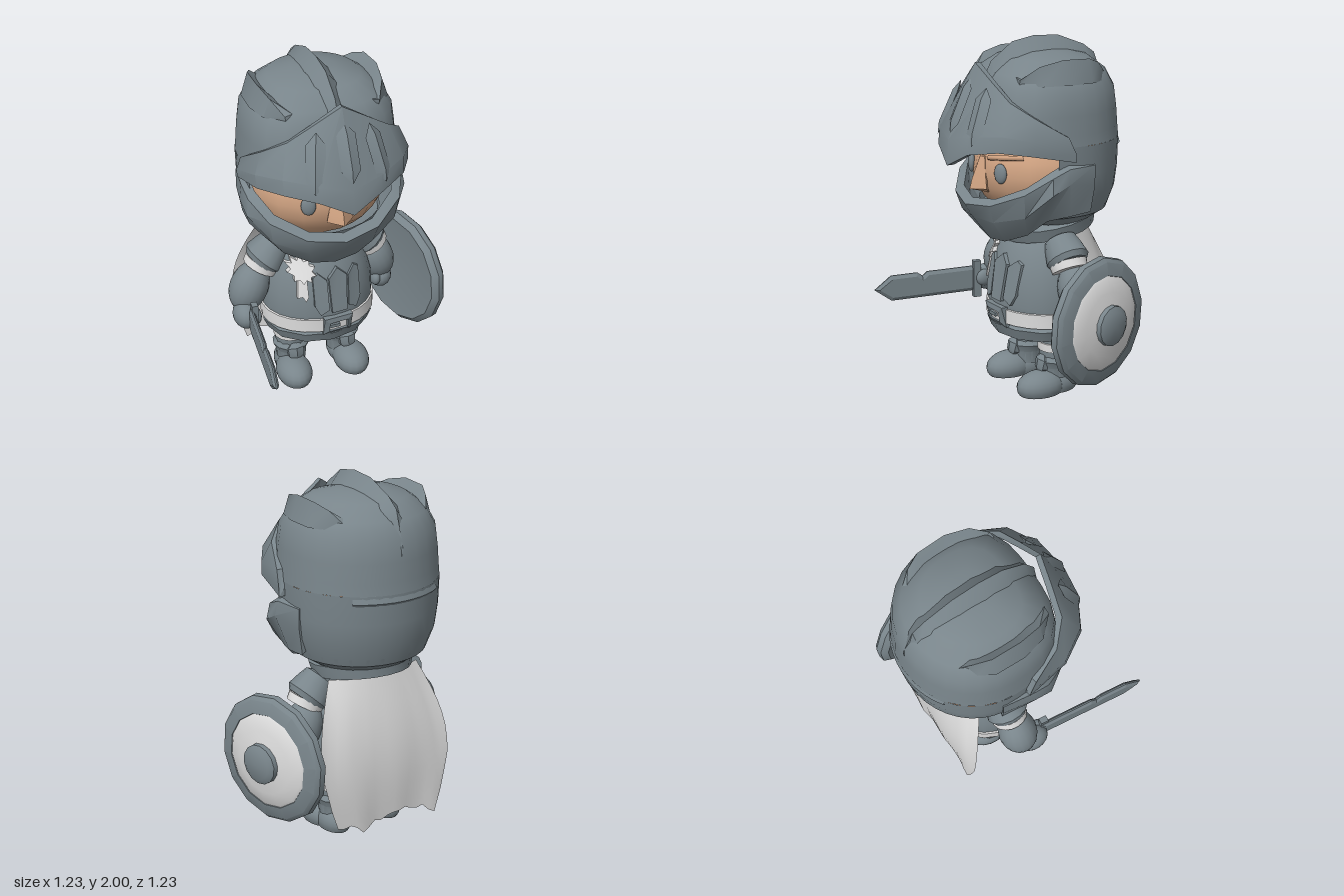
import * as THREE from 'three';
import { toCreasedNormals } from 'three/addons/utils/BufferGeometryUtils.js';

const V2 = (a) => a.map((p) => new THREE.Vector2(p[0], p[1]));
const shapeOf = (a) => new THREE.Shape(V2(a));

// Closed skin through a row of equal-length loops, capped at both ends
function loft(rows, crease = 0.6) {
  const n = rows[0].length, idx = [];
  for (let i = 0; i < rows.length - 1; i++) for (let j = 0; j < n; j++) {
    const a = i * n + j, b = i * n + (j + 1) % n;
    idx.push(a, a + n, b + n, a, b + n, b);
  }
  const e = (rows.length - 1) * n;
  for (let j = 1; j < n - 1; j++) idx.push(0, j, j + 1, e, e + j + 1, e + j);
  const g = new THREE.BufferGeometry();
  g.setAttribute('position', new THREE.Float32BufferAttribute(rows.flat(2), 3));
  g.setIndex(idx);
  return toCreasedNormals(g, crease);
}

// Turned part, flattened in depth by sz; boxy > 2 squares off its front half
function turned(pts, seg, sz = 1, start = 0, len = Math.PI * 2, boxy = 2) {
  const g = new THREE.LatheGeometry(V2(pts), seg, start, len), p = g.attributes.position;
  for (let i = 0; i < p.count; i++) {
    const x = p.getX(i), z = p.getZ(i), r = Math.hypot(x, z);
    const k = z > 0 && r > 1e-4 ? (Math.abs(x / r) ** boxy + (z / r) ** boxy) ** (-1 / boxy) : 1;
    p.setXYZ(i, x * k, p.getY(i), z * k * sz);
  }
  return toCreasedNormals(g, 0.6);
}

// Curved plate with thickness: half-stations of outer points, mirrored in x
function plate(half, inset, lift) {
  const loop = (st, s) => {
    const o = st.map(([x, y, z]) => [s * x, y, z]);
    const inner = o.map(([x, y, z]) => [x * inset, y + lift, (z + 0.2) * inset - 0.2]).reverse();
    return [...o, ...inner];
  };
  return loft([...half.slice(1).reverse().map((h) => loop(h, -1)), ...half.map((h) => loop(h, 1))]);
}

const TORSO = [[0.27, 0.38], [0.315, 0.44], [0.322, 0.53], [0.315, 0.64], [0.285, 0.76], [0.23, 0.87], [0.15, 0.96]];
const BODY_Z = -0.165, BODY_DEPTH = 0.85;
function torsoZ(x, y) {
  let i = 0;
  while (i < TORSO.length - 2 && y > TORSO[i + 1][1]) i++;
  const [a, b] = [TORSO[i], TORSO[i + 1]];
  const r = a[0] + (b[0] - a[0]) * (y - a[1]) / (b[1] - a[1]);
  return BODY_Z + BODY_DEPTH * Math.sqrt(Math.max(0, r * r - x * x));
}
// Flat shape bent onto the chest
function drape(shape, depth) {
  const g = new THREE.ExtrudeGeometry(shape, { depth, bevelEnabled: false });
  const p = g.attributes.position;
  for (let i = 0; i < p.count; i++) p.setZ(i, p.getZ(i) + torsoZ(p.getX(i), p.getY(i)) - 0.004);
  return toCreasedNormals(g, 0.5);
}

export function createModel() {
  const mat = (name, color, side = THREE.FrontSide) => {
    const m = new THREE.MeshStandardMaterial({ color, side });
    m.name = name;
    return m;
  };
  const steel = mat('steel grey', 0x79858b, THREE.DoubleSide);
  const white = mat('off white', 0xdcdcdc, THREE.DoubleSide);
  const skin = mat('skin', 0xcfa281);

  const root = new THREE.Group();
  root.name = 'knight';
  const model = new THREE.Group();
  model.name = 'figure';
  model.position.x = -0.08;
  root.add(model);
  const add = (name, g, m, x = 0, y = 0, z = 0) => {
    const o = new THREE.Mesh(g, m);
    o.name = name;
    o.position.set(x, y, z);
    model.add(o);
    return o;
  };
  const ball = (name, m, x, y, z, sx, sy, sz) => {
    const o = add(name, new THREE.SphereGeometry(1, 18, 12), m, x, y, z);
    o.scale.set(sx, sy, sz);
    return o;
  };
  const up = new THREE.Vector3(0, 1, 0);
  const aim = (o, x, y, z) => o.quaternion.setFromUnitVectors(up, new THREE.Vector3(x, y, z).normalize());

  // Helmet shell: full dome above, open at the face, closed again under the jaw
  add('helmetDome', turned([[0.424, 1.46], [0.418, 1.52], [0.41, 1.62], [0.395, 1.73], [0.345, 1.82],
    [0.245, 1.89], [0.12, 1.92], [0, 1.93]], 28, 0.95, 0, Math.PI * 2, 3), steel, 0, 0, -0.2);
  add('helmetSkirt', turned([[0.36, 1.06], [0.405, 1.18], [0.42, 1.3], [0.424, 1.46]],
    24, 0.95, 1.2, Math.PI * 2 - 2.4, 3), steel, 0, 0, -0.2);
  add('helmetJaw', turned([[0, 0.99], [0.27, 1.0], [0.36, 1.06], [0.375, 1.1]], 28, 0.95), steel, 0, 0, -0.2);
  add('helmetBackRidge', turned([[0.41, 1.39], [0.432, 1.42], [0.405, 1.5]], 10, 0.95, Math.PI - 0.65, 1.3), steel, 0, 0, -0.2);
  const collar = add('neckRing', turned([[0, -0.05], [0.27, -0.04], [0.285, 0.03], [0.25, 0.05], [0, 0.05]], 20), steel, 0, 0.965, -0.21);
  collar.rotation.x = 0.17;

  // Crests on top
  const ridge = [[-0.585, 1.62, 1.7, 0.01], [-0.52, 1.79, 1.88, 0.06], [-0.45, 1.855, 1.93, 0.07], [-0.29, 1.905, 1.99, 0.075],
    [-0.14, 1.91, 2, 0.078], [0, 1.88, 1.975, 0.075], [0.13, 1.77, 1.88, 0.07], [0.19, 1.6, 1.76, 0.05]];
  add('centreCrest', loft(ridge.map(([z, b, t, w]) => [[-w, b, z], [0, t, z], [w, b, z]])), steel);
  const sideRidge = [[-0.42, 0.245, 1.82, 0.01], [-0.36, 0.285, 1.875, 0.045], [-0.28, 0.32, 1.905, 0.055],
    [-0.12, 0.325, 1.91, 0.055], [0.01, 0.3, 1.88, 0.05], [0.1, 0.25, 1.81, 0.01]];
  for (const s of [-1, 1]) {
    add('sideCrest', loft(sideRidge.map(([z, x, t, w]) => {
      const l = [[s * (x - 0.02 - w), 1.82, z], [s * (x + 0.01), t, z], [s * (x - 0.005 + w), 1.78, z]];
      return s > 0 ? l : l.reverse();
    })), steel);
  }

  // Raised visor with three slots
  add('visor', plate([
    [[0, 1.34, 0.4], [0, 1.48, 0.39], [0, 1.88, 0.225]],
    [[0.17, 1.425, 0.365], [0.17, 1.52, 0.355], [0.14, 1.79, 0.2]],
    [[0.33, 1.455, 0.27], [0.335, 1.54, 0.255], [0.28, 1.7, 0.17]],
    [[0.425, 1.435, 0.11], [0.43, 1.51, 0.1], [0.385, 1.62, 0.07]],
    [[0.455, 1.385, -0.13], [0.457, 1.43, -0.13], [0.445, 1.52, -0.09]],
  ], 0.93, 0), steel);
  for (const i of [-1, 0, 1]) {
    const slot = add('visorSlot', turned([[0, -0.16], [0.052, -0.095], [0.052, 0.095], [0, 0.16]], 4, 0.4),
      steel, i * 0.17, i ? 1.62 : 1.66, i ? 0.295 : 0.315);
    slot.rotation.set(-0.42, i * 0.4, 0, 'YXZ');
  }

  // Chin guard
  add('chinGuard', plate([
    [[0, 0.9, 0.14], [0, 1.04, 0.25], [0, 1.115, 0.295]],
    [[0.13, 0.91, 0.12], [0.18, 1.04, 0.22], [0.2, 1.14, 0.25]],
    [[0.27, 0.97, 0.06], [0.35, 1.09, 0.12], [0.37, 1.22, 0.135]],
    [[0.36, 1.06, -0.01], [0.455, 1.22, 0.01], [0.44, 1.31, 0.0]],
    [[0.4, 1.08, -0.13], [0.46, 1.27, -0.09], [0.445, 1.35, -0.1]],
    [[0.395, 1.09, -0.26], [0.42, 1.24, -0.27], [0.42, 1.35, -0.27]],
  ], 0.9, 0.03), steel);

  // Face
  ball('head', skin, 0, 1.28, -0.18, 0.385, 0.3, 0.38);
  add('nose', loft([
    [[-0.035, 1.17, 0.16], [-0.075, 1.2, 0.2], [0, 1.195, 0.265], [0.075, 1.2, 0.2], [0.035, 1.17, 0.16]],
    [[-0.05, 1.24, 0.16], [-0.065, 1.25, 0.2], [0, 1.25, 0.25], [0.065, 1.25, 0.2], [0.05, 1.24, 0.16]],
    [[-0.025, 1.37, 0.16], [-0.025, 1.37, 0.185], [0, 1.37, 0.2], [0.025, 1.37, 0.185], [0.025, 1.37, 0.16]],
  ].map((l) => l.reverse()), 1), skin);
  for (const s of [-1, 1]) {
    ball('eye', steel, s * 0.165, 1.3, 0.165, 0.04, 0.055, 0.02).rotation.y = s * 0.4;
    const brow = new THREE.CatmullRomCurve3([[0.08, 1.375, 0.19], [0.16, 1.385, 0.165], [0.27, 1.395, 0.08]]
      .map(([x, y, z]) => new THREE.Vector3(s * x, y, z)));
    add('brow', new THREE.TubeGeometry(brow, 8, 0.014, 6), skin);
  }

  // Torso, belt and skirt
  add('torso', turned(TORSO, 24, BODY_DEPTH), steel, 0, 0, BODY_Z);
  add('belt', turned([[0.3, 0.42], [0.33, 0.425], [0.33, 0.505], [0.3, 0.515]], 24, BODY_DEPTH), white, 0, 0, BODY_Z);
  add('skirt', turned([[0, 0.35], [0.25, 0.335], [0.3, 0.34], [0.325, 0.4], [0.3, 0.425]], 12, BODY_DEPTH), steel, 0, 0, BODY_Z);
  const frame = shapeOf([[-0.065, 0.4], [0.105, 0.4], [0.105, 0.52], [-0.065, 0.52]]);
  frame.holes.push(new THREE.Path(V2([[-0.035, 0.43], [-0.035, 0.49], [0.075, 0.49], [0.075, 0.43]])));
  add('buckle', drape(frame, 0.04), steel);
  add('bucklePin', drape(shapeOf([[-0.035, 0.45], [0.03, 0.45], [0.03, 0.47], [-0.035, 0.47]]), 0.03), steel);

  // Chest panels and medal
  add('chestPanel', drape(shapeOf([[-0.015, 0.55], [0.075, 0.55], [0.085, 0.76], [0.03, 0.81], [-0.025, 0.76]]), 0.025), steel);
  for (const s of [-1, 1]) {
    add('chestSidePanel', drape(shapeOf([[0.06, 0.57], [0.11, 0.54], [0.14, 0.6], [0.14, 0.77], [0.11, 0.79], [0.065, 0.75]]
      .map(([x, y]) => [0.03 + s * x, y])), 0.02), steel);
  }
  const star = [];
  for (let i = 0; i < 20; i++) {
    const r = i % 2 ? 0.05 : 0.072, a = i * Math.PI / 10;
    star.push([-0.16 - r * Math.sin(a), 0.81 + r * Math.cos(a)]);
  }
  add('medal', drape(shapeOf(star), 0.03), white);
  add('medalRibbon', drape(shapeOf([[-0.195, 0.65], [-0.17, 0.66], [-0.155, 0.63], [-0.14, 0.66], [-0.14, 0.76], [-0.185, 0.76]]), 0.02), white);

  // Arms (the shield arm is held further in and back) and legs
  for (const s of [-1, 1]) {
    const sleeve = add('shoulderPad', turned([[0, -0.1], [0.1, -0.1], [0.12, -0.07], [0.105, 0], [0.09, 0.05], [0, 0.09]], 14), steel, s * 0.265, 0.865, -0.17);
    aim(sleeve, -s * 0.7, 0.75, 0);
    const cuff = add('sleeveBand', turned([[0, -0.025], [0.1, -0.025], [0.105, 0.02], [0, 0.02]], 16), white, s * 0.325, 0.78, -0.17);
    aim(cuff, -s * 0.5, 0.85, 0);
    const [ax, az, hx, hz] = s < 0 ? [0.405, -0.16, 0.455, -0.09] : [0.37, -0.2, 0.4, -0.2];
    ball('forearm', steel, s * ax, 0.65, az, 0.11, 0.155, 0.11).rotation.z = s * 0.4;
    ball('hand', steel, s * hx, 0.52, hz, 0.07, 0.08, 0.095);
    ball('thumb', steel, s * (hx - 0.045), 0.53, hz + 0.05, 0.03, 0.05, 0.05);

    add('leg', new THREE.CylinderGeometry(0.1, 0.085, 0.3, 14), steel, s * 0.155, 0.25, -0.19);
    add('legBand', turned([[0.08, 0.245], [0.1, 0.25], [0.1, 0.295], [0.08, 0.305]], 14), white, s * 0.155, 0, -0.19);
    add('bootTop', turned([[0.085, 0.08], [0.09, 0.15], [0.108, 0.19], [0.085, 0.225]], 12), steel, s * 0.155, 0, -0.19);
    const knee = add('kneePad', turned([[0, -0.07], [0.05, -0.03], [0.055, 0.02], [0, 0.07]], 6, 0.6), steel, s * 0.16, 0.175, -0.1);
    knee.rotation.x = -0.25;
    // Feet with flat soles
    const foot = new THREE.SphereGeometry(1, 18, 12), p = foot.attributes.position;
    for (let i = 0; i < p.count; i++) p.setY(i, Math.max(p.getY(i), -0.55));
    const footGeo = toCreasedNormals(foot, 0.6);
    for (const [name, z, w, h, d] of [['toe', -0.08, 0.102, 0.09, 0.145], ['heel', -0.19, 0.088, 0.09, 0.135]]) {
      const f = add(name, footGeo, steel, s * (z > -0.1 ? 0.178 : 0.165), h * 0.55, z);
      f.scale.set(w, h, d);
    }
  }

  // Sword
  const blade = new THREE.ExtrudeGeometry(shapeOf([[-0.02, -0.075], [0.52, -0.075],
    [0.62, 0], [0.52, 0.075], [0.36, 0.075], [0.33, 0.052], [0.3, 0.075], [-0.02, 0.075]]),
  { depth: 0.008, bevelThickness: 0.012, bevelSize: 0.02, bevelOffset: -0.02, bevelSegments: 1 });
  blade.rotateY(-Math.PI / 2);
  add('swordBlade', blade, steel, -0.44, 0.525, 0).rotation.y = -0.12;
  add('swordGuard', new THREE.BoxGeometry(0.035, 0.22, 0.045), steel, -0.43, 0.525, 0).rotation.y = -0.12;
  add('swordGrip', new THREE.CylinderGeometry(0.025, 0.025, 0.2, 8), steel, -0.43, 0.525, -0.1).rotation.x = Math.PI / 2;

  // Round shield
  const parts = [
    ['shieldRim', [[0, -0.01], [0.28, -0.03], [0.325, -0.035], [0.358, -0.005], [0.355, 0.03], [0.335, 0.05], [0.265, 0.065], [0.255, 0.05]], steel],
    ['shieldFace', [[0.265, 0.06], [0.25, 0.07], [0.18, 0.088], [0.1, 0.1]], white],
    ['shieldBoss', [[0.112, 0.085], [0.11, 0.125], [0.08, 0.142], [0, 0.145]], steel],
  ];
  for (const [name, pts, m] of parts) aim(add(name, turned(pts, 14), m, 0.54, 0.522, -0.21), 0.955, 0, -0.296);

  // Cape with a ragged hem
  const cape = new THREE.PlaneGeometry(2, 1, 18, 10), c = cape.attributes.position;
  const hem = [0.2, 0.07, 0.09, 0.13, 0.12, 0.13, 0.15, 0.14, 0.14, 0.13, 0.11, 0.12, 0.09, 0.07, 0.11, 0.13, 0.12, 0.13, 0.24];
  for (let i = 0; i < c.count; i++) {
    const u = c.getX(i), t = 0.5 - c.getY(i);
    const w = 0.28 + 0.125 * Math.sin(Math.min(1, t / 0.6) * Math.PI / 2) - 0.05 * Math.max(0, t - 0.7) / 0.3;
    const low = hem[Math.round((u + 1) * 9)];
    c.setXYZ(i, u * w - 0.02 * t, 0.95 + (low - 0.95) * t,
      -0.4 - 0.06 * t + 0.07 * u * u * (1 - t) - 0.045 * Math.sin(Math.PI * t) + 0.005 * t * Math.sin(u * 9));
  }
  cape.computeVertexNormals();
  add('cape', cape, white);

  return root;
}
